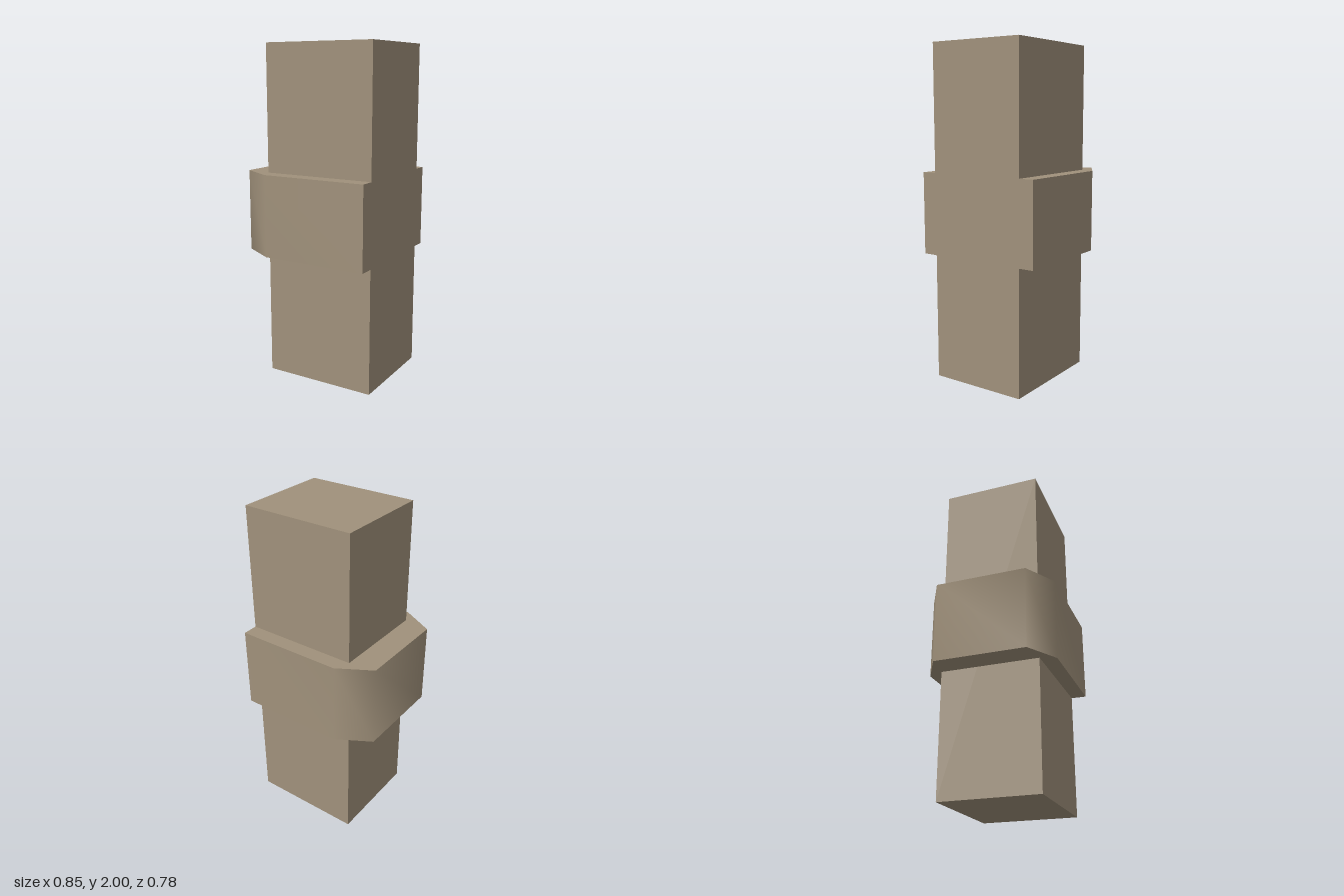
import * as THREE from 'three';
import { toCreasedNormals } from 'three/addons/utils/BufferGeometryUtils.js';

export function createModel() {
  const group = new THREE.Group();
  group.name = 'bandedPost';
  const stone = new THREE.MeshStandardMaterial({ color: 0xa0917b });
  stone.name = 'taupe stone';

  const flushX = 0.425; // flat side shared by post and band
  const postX = -0.265, postZ = 0.3;

  // Square post, full height
  const post = new THREE.Mesh(new THREE.BoxGeometry(flushX - postX, 2, postZ * 2), stone);
  post.name = 'post';
  post.position.set((flushX + postX) / 2, 1, 0);
  group.add(post);

  // Band wrapping three sides of the post, with chamfered corners
  const outline = new THREE.Shape([
    [flushX, -0.392], [flushX, -postZ], [postX, -postZ], [postX, postZ],
    [flushX, postZ], [flushX, 0.392], [-0.225, 0.392], [-0.425, 0.277],
    [-0.425, -0.277], [-0.225, -0.392],
  ].map(([x, y]) => new THREE.Vector2(x, y)));
  const bandGeometry = new THREE.ExtrudeGeometry(outline, { depth: 0.494, bevelEnabled: false });
  bandGeometry.rotateX(-Math.PI / 2);
  const band = new THREE.Mesh(toCreasedNormals(bandGeometry, THREE.MathUtils.degToRad(65)), stone);
  band.name = 'band';
  band.position.y = 0.755;
  group.add(band);

  return group;
}
